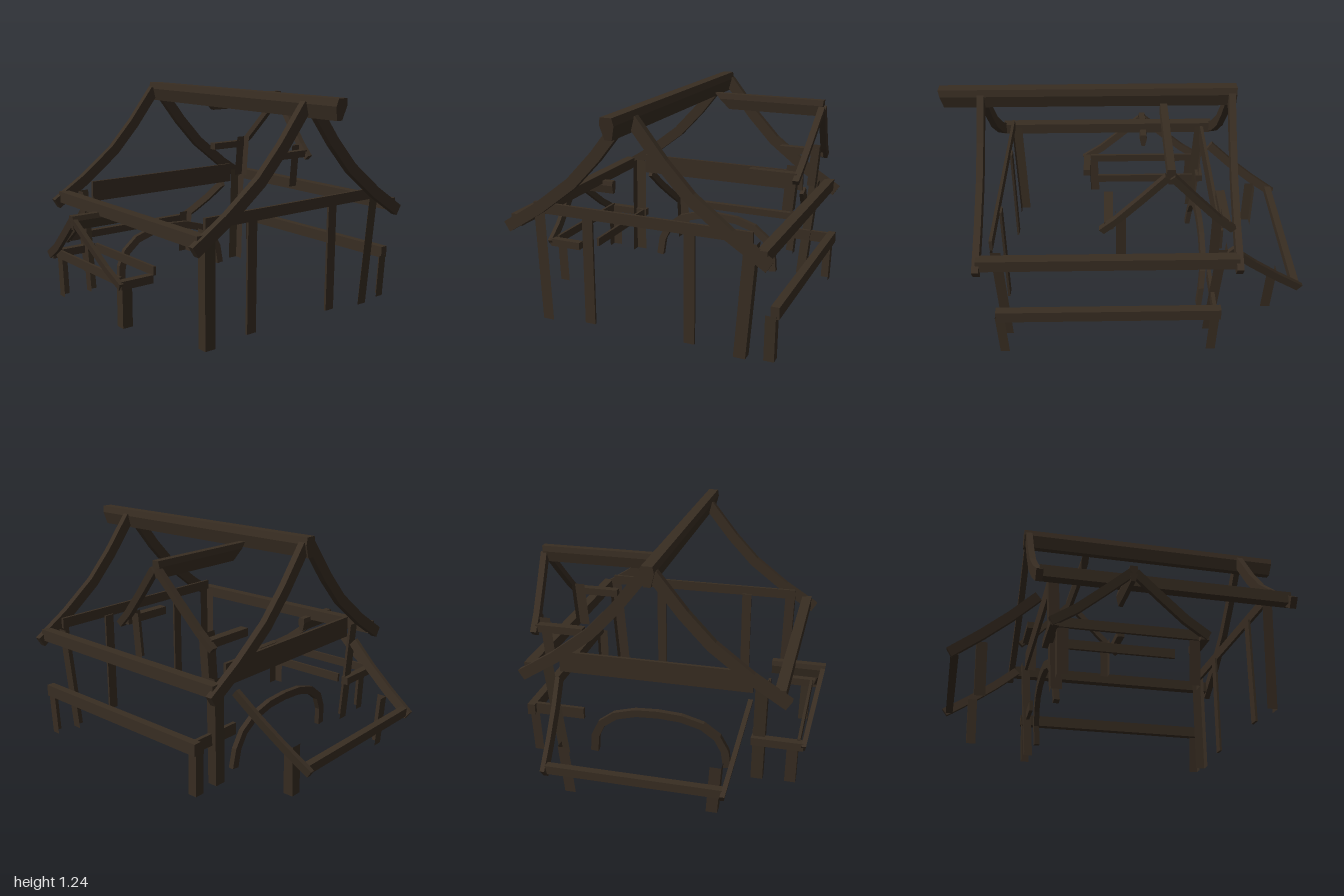
import * as THREE from 'three';

const timber = new THREE.MeshStandardMaterial({ color: 0x382d22, side: THREE.DoubleSide });
timber.name = 'dark timber';

// Bent board: a centre line thickened to width, extruded by depth, leaning by lean per unit of height
function ribbon(points, width, depth, lean = 0, baseY = 0) {
  const p = points.map(([u, v]) => new THREE.Vector2(u, v));
  const left = [], right = [];
  p.forEach((q, i) => {
    const a = p[Math.max(i - 1, 0)], b = p[Math.min(i + 1, p.length - 1)];
    const d = b.clone().sub(a).normalize();
    const n = new THREE.Vector2(-d.y, d.x).multiplyScalar(width / 2);
    left.push(q.clone().add(n));
    right.unshift(q.clone().sub(n));
  });
  const g = new THREE.ExtrudeGeometry(new THREE.Shape([...left, ...right]), { depth, bevelEnabled: false });
  g.translate(0, 0, -depth / 2);
  const pos = g.attributes.position;
  for (let i = 0; i < pos.count; i++) pos.setZ(i, pos.getZ(i) + lean * (pos.getY(i) - baseY));
  g.computeVertexNormals();
  return g;
}

// Tapered ridge beam along z from z0 to z1; cut slopes the lower edge of each end inwards
function ridgeGeometry(width, y0, y1, z0, z1, cut0, cut1) {
  const w = width / 2, h = y1 - y0;
  const s = new THREE.Shape([[-w * 0.5, y0], [w * 0.5, y0], [w, y0 + h * 0.65], [w * 0.8, y1], [-w * 0.8, y1], [-w, y0 + h * 0.65]]
    .map(([x, y]) => new THREE.Vector2(x, y)));
  const g = new THREE.ExtrudeGeometry(s, { depth: z1 - z0, bevelEnabled: false });
  g.translate(0, 0, z0);
  const pos = g.attributes.position, mid = (z0 + z1) / 2;
  for (let i = 0; i < pos.count; i++) {
    const t = (y1 - pos.getY(i)) / h, z = pos.getZ(i);
    pos.setZ(i, z < mid ? z + cut0 * t : z - cut1 * t);
  }
  g.computeVertexNormals();
  return g;
}

export function createModel() {
  const model = new THREE.Group();
  model.name = 'timberFrame';

  const add = (name, geometry, x = 0, y = 0, z = 0) => {
    const m = new THREE.Mesh(geometry, timber);
    m.name = name;
    m.position.set(x, y, z);
    model.add(m);
    return m;
  };
  // Box given by its limits
  const beam = (name, x0, x1, y0, y1, z0, z1) =>
    add(name, new THREE.BoxGeometry(x1 - x0, y1 - y0, z1 - z0), (x0 + x1) / 2, (y0 + y1) / 2, (z0 + z1) / 2);

  // Angle post: two outer faces meeting at a leaning corner; sx, sz point outwards
  const anglePost = (name, foot, head, sx, sz, wx = 0.055, wz = 0.065) => {
    const face = (dx, dz) => [
      foot, [foot[0] + dx, foot[1], foot[2] + dz],
      [head[0] + dx, head[1], head[2] + dz], head,
    ];
    const v = [];
    for (const c of [face(-sx * wx, 0), face(0, -sz * wz)])
      for (const i of [0, 1, 2, 0, 2, 3]) v.push(...c[i]);
    // keep the winding facing outwards
    const flip = (k) => {
      for (let i = k; i < k + 18; i += 9)
        for (let j = 0; j < 3; j++) [v[i + 3 + j], v[i + 6 + j]] = [v[i + 6 + j], v[i + 3 + j]];
    };
    if (sx * sz > 0) flip(0);
    else flip(18);
    const g = new THREE.BufferGeometry();
    g.setAttribute('position', new THREE.Float32BufferAttribute(v, 3));
    g.computeVertexNormals();
    add(name, g);
  };

  // Main ridge
  add('mainRidge', ridgeGeometry(0.075, 1.135, 1.245, -0.61, 0.99, 0, 0.02).rotateY(Math.PI / 2), 0, 0, -0.062);

  // Curved gable rafters, mirrored about the ridge
  for (const x of [-0.582, 0.765])
    for (const s of [1, -1]) {
      const line = [[0.02, 1.2], [0.18, 0.998], [0.325, 0.843], [0.53, 0.685], [0.73, 0.558]]
        .map(([u, v]) => [-0.06 + s * u, v]);
      add('gableRafter', ribbon(line, 0.063, 0.036).rotateY(-Math.PI / 2), x);
    }

  // Eave plates and wall ties
  beam('frontEavePlate', -0.58, 0.765, 0.565, 0.63, 0.59, 0.65);
  beam('backEavePlate', -0.58, 0.765, 0.565, 0.63, -0.775, -0.72);
  beam('rightWallTie', 0.683, 0.7, 0.63, 0.69, -0.68, 0.55);
  beam('leftWallTie', -0.51, -0.492, 0.56, 0.68, -0.6, 0.47);

  // Corner posts
  for (const [z0, z1, sz] of [[0.535, 0.55, 1], [-0.65, -0.7, -1]]) {
    anglePost('cornerPost', [0.682, 0.005, z0], [0.697, 0.63, z1], 1, sz);
    anglePost('cornerPost', [-0.485, 0.02, z0], [-0.525, 0.63, z1], -1, sz);
  }
  // Flat studs in the side wall
  for (const z of [0.235, -0.345]) beam('wallStud', 0.672, 0.685, 0.03, 0.64, z - 0.03, z + 0.03);

  // Arched doorway in the left wall
  const arch = [[0.39, 0.03], [0.377, 0.14], [0.335, 0.225], [0.25, 0.29], [0.13, 0.325], [0, 0.333]];
  const archLine = [...arch, ...arch.slice(0, -1).reverse().map(([u, v]) => [-u, v])].map(([u, v]) => [u - 0.06, v]);
  add('doorArch', ribbon(archLine, 0.045, 0.03, 0.09).rotateY(-Math.PI / 2), -0.425);

  // Rear cross gable
  add('crossRidge', ridgeGeometry(0.047, 1.09, 1.18, -0.775, -0.135, 0.01, 0.085), -0.212);
  for (const s of [1, -1]) {
    const line = [[0.01, 1.135], [0.13, 0.995], [0.25, 0.86], [0.33, 0.786]].map(([u, v]) => [-0.207 + s * u, v]);
    add('crossRafter', ribbon(line, 0.036, 0.035, -0.13, 0.78), 0, 0, -0.72);
    beam('crossPlate', -0.207 + s * 0.293 - 0.023, -0.207 + s * 0.293 + 0.023, 0.79, 0.832, -0.72, -0.452);
    const x = -0.215 + s * 0.265;
    anglePost('crossPost', [x, 0.6, -0.69], [x, 0.86, -0.71], s, -1, 0.05, 0.06);
  }

  // Rear low bay
  beam('rearBayBeam', -0.5, 0.685, 0.255, 0.32, -0.82, -0.775);
  beam('rearBayReturn', -0.478, -0.457, 0.255, 0.32, -0.8, -0.49);
  for (const [x, s] of [[0.682, 1], [-0.485, -1]])
    anglePost('rearBayPost', [x, 0.02, -0.8], [x + s * 0.01, 0.27, -0.805], s, -1, 0.05, 0.055);

  // Left lean-to
  const slope = [[-0.56, 0.54], [-0.69, 0.425], [-0.83, 0.317], [-0.98, 0.213]];
  for (const s of [1, -1]) {
    add('leanToRafter', ribbon(slope, 0.05, 0.025, s * 0.19, 0.21), 0, 0, -0.06 + s * 0.463);
    anglePost('leanToPost', [-0.84, 0.02, -0.06 + s * 0.415], [-0.85, 0.3, -0.06 + s * 0.435], -1, s, 0.055, 0.06);
  }
  beam('leanToBeam', -0.972, -0.932, 0.208, 0.255, -0.52, 0.4);

  // Front porch
  add('porchRidge', ridgeGeometry(0.047, 0.505, 0.585, 0.52, 0.815, 0, 0.01), -0.138);
  for (const s of [1, -1]) {
    const line = [[0.01, 0.552], [0.14, 0.447], [0.27, 0.345], [0.39, 0.272]].map(([u, v]) => [-0.136 + s * u, v]);
    add('porchRafter', ribbon(line, 0.043, 0.025, 0.18, 0.27), 0, 0, 0.748);
    const x = -0.136 + s * 0.371;
    beam('porchPlate', x - 0.022, x + 0.022, 0.255, 0.3, s > 0 ? 0.55 : 0.47, 0.75);
    anglePost('porchPost', [-0.136 + s * 0.347, 0.025, 0.715], [-0.136 + s * 0.355, 0.27, 0.72], s, 1, 0.055, 0.06);
  }
  beam('porchFrontTie', -0.5, 0.21, 0.26, 0.31, 0.714, 0.73);
  beam('porchBackTie', -0.46, 0.16, 0.26, 0.31, 0.468, 0.484);

  return model;
}
